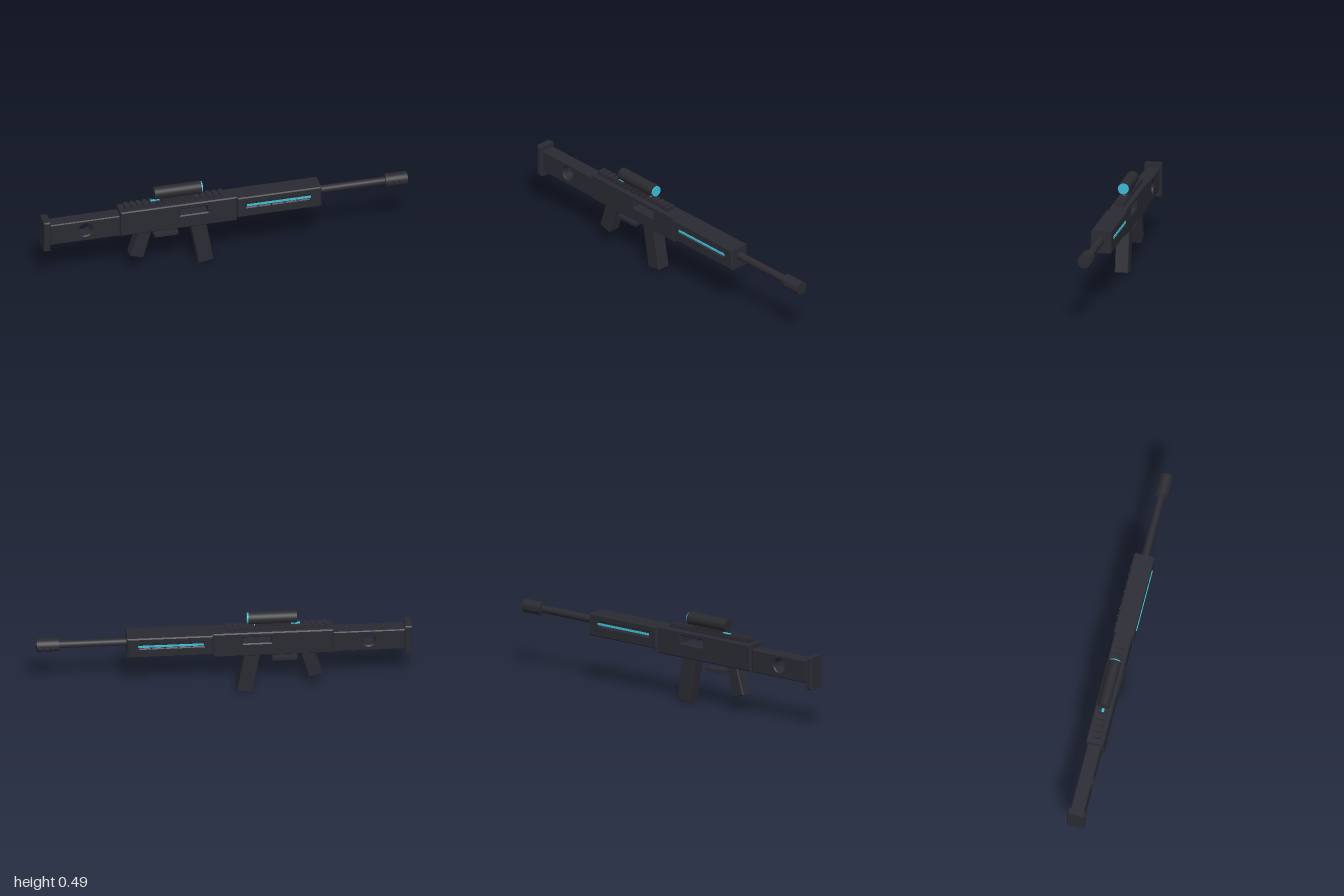
import * as THREE from 'three';

const mat = (name, color) => new THREE.MeshStandardMaterial({ name, color });

export function createModel() {
  const body = mat('charcoal body', 0x2a2a33);
  const metal = mat('dark gunmetal', 0x2c2a32);
  const optic = mat('optic black', 0x2a2a2f);
  const glow = mat('cyan glow', 0x3cbdd6);
  const model = new THREE.Group();
  model.name = 'rifle';

  const add = (name, geometry, material, x = 0, y = 0, z = 0) => {
    const m = new THREE.Mesh(geometry, material);
    m.name = name;
    m.position.set(x, y, z);
    model.add(m);
    return m;
  };
  // Box given by its limits in x and y and its half depth
  const block = (name, x0, x1, y0, y1, hz, material) =>
    add(name, new THREE.BoxGeometry(x1 - x0, y1 - y0, 2 * hz), material, (x0 + x1) / 2, (y0 + y1) / 2);
  // Cylinder lying along x
  const rod = (name, x0, x1, y, r, material) => {
    const g = new THREE.CylinderGeometry(r, r, x1 - x0, 32).rotateZ(-Math.PI / 2);
    return add(name, g, material, (x0 + x1) / 2, y);
  };
  const rect = (x0, x1, y0, y1) => [[x0, y0], [x1, y0], [x1, y1], [x0, y1]];
  const toPath = (pts) => new THREE.Path(pts.map((p) => new THREE.Vector2(...p)));
  // Side profile with chamfered edges, centred on z = 0
  const slab = (name, pts, hz, bevel, holes = []) => {
    const shape = new THREE.Shape(pts.map((p) => new THREE.Vector2(...p)));
    shape.holes = holes;
    const g = new THREE.ExtrudeGeometry(shape, {
      depth: 2 * (hz - bevel), bevelEnabled: true, bevelSegments: 1,
      bevelSize: bevel, bevelThickness: bevel, bevelOffset: -bevel, curveSegments: 32,
    });
    return add(name, g.translate(0, 0, bevel - hz), body);
  };

  // Stock with its round opening
  slab('buttPlate', rect(-1, -0.963, 0.215, 0.395), 0.048, 0.006);
  const ring = new THREE.Path().absarc(-0.77, 0.313, 0.037, 0, Math.PI * 2, true);
  slab('stock', rect(-0.963, -0.58, 0.246, 0.371), 0.038, 0.005, [ring]);

  // Receiver with its window
  slab('receiver', rect(-0.58, 0.06, 0.248, 0.395), 0.048, 0.006,
    [toPath(rect(-0.25, -0.1, 0.327, 0.366))]);

  // Handguard with a row of slots and a light strip on each side
  const slots = [];
  for (let i = 0; i < 5; i++) {
    const x = 0.11 + i * 0.0715;
    slots.push(toPath(rect(x, x + 0.058, 0.328, 0.353)));
  }
  slab('handguard', rect(0.06, 0.52, 0.27, 0.391), 0.056, 0.006, slots);
  for (const s of [1, -1]) {
    add('lightStrip', new THREE.BoxGeometry(0.35, 0.011, 0.005), glow, 0.286, 0.342, s * 0.057);
  }

  // Grip, magazine and trigger guard
  slab('grip', [[-0.523, 0.106], [-0.452, 0.086], [-0.405, 0.255], [-0.478, 0.255]], 0.038, 0.005);
  slab('magazine', [[-0.148, 0.002], [-0.066, 0.018], [-0.107, 0.255], [-0.192, 0.255]], 0.037, 0.004);
  block('triggerGuard', -0.39, -0.257, 0.2, 0.217, 0.03, body);

  // Barrel and muzzle; the muzzle alternates whole discs with split ones
  rod('barrel', 0.515, 0.885, 0.342, 0.021, metal);
  const r = 0.036, gap = 0.009, a = Math.asin(gap / r);
  const edges = [0.88, 0.902, 0.922, 0.935, 0.955, 0.967, 0.987, 1];
  for (let i = 0; i < 7; i++) {
    const x0 = edges[i], x1 = edges[i + 1];
    if (i % 2 === 0) {
      rod('muzzleDisc', x0, x1, 0.342, r, metal);
      continue;
    }
    for (const turn of [0, Math.PI]) {
      const cap = new THREE.Shape();
      cap.absarc(0, 0, r, a + turn, Math.PI - a + turn, false);
      cap.closePath();
      const g = new THREE.ExtrudeGeometry(cap, { depth: x1 - x0, bevelEnabled: false, curveSegments: 20 });
      add('muzzleCap', g.rotateY(Math.PI / 2), metal, x0, 0.342);
    }
  }

  // Toothed rail on top
  block('railBase', -0.55, -0.01, 0.393, 0.404, 0.024, metal);
  for (let i = 0; i < 16; i++) {
    const x = -0.55 + i * 0.0346;
    block('railTooth', x, x + 0.021, 0.404, 0.417, 0.024, metal);
  }
  block('railLight', -0.405, -0.16, 0.415, 0.42, 0.007, glow);

  // Scope
  block('scopeMount', -0.355, -0.165, 0.415, 0.44, 0.021, optic);
  rod('scopeTube', -0.387, -0.13, 0.462, 0.034, optic);
  rod('scopeLens', -0.13, -0.122, 0.462, 0.029, glow);

  return model;
}
